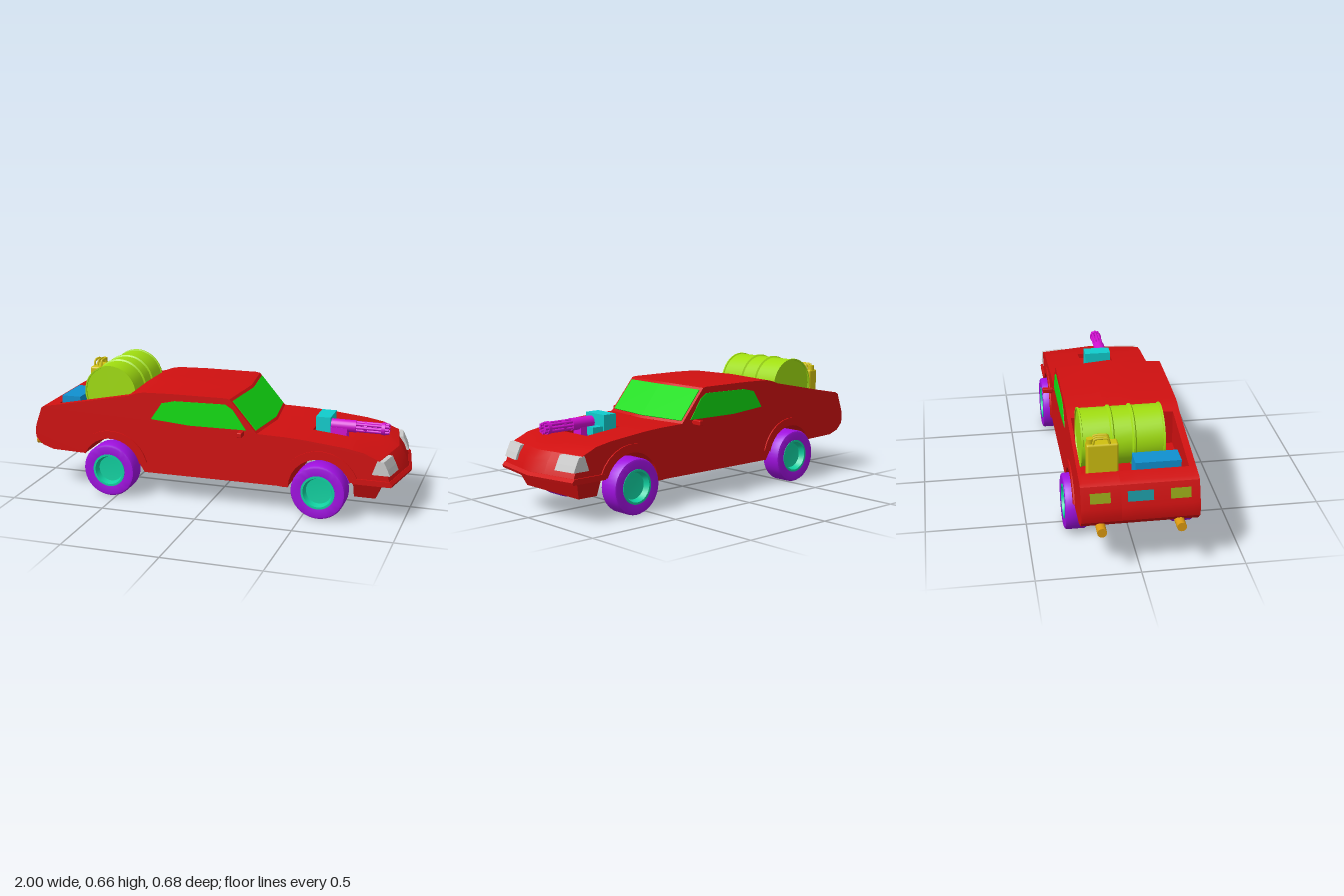
import * as THREE from 'three';
import { mergeGeometries, toCreasedNormals } from 'three/addons/utils/BufferGeometryUtils.js';
import { RoundedBoxGeometry } from 'three/addons/geometries/RoundedBoxGeometry.js';

const HALF = 0.278; // half width of the body
const mat = (color) => new THREE.MeshStandardMaterial({ color });
const RED = mat(0xd01010), GREEN = mat(0x10dd10), PURPLE = mat(0xa010e0), TEAL = mat(0x10d0a0);
const LIME = mat(0xa0dd10), YELLOW = mat(0xd0c010), BLUE = mat(0x1090d0), CYAN = mat(0x10cccc);
const MAGENTA = mat(0xd010d0), ORANGE = mat(0xdd9a10), GREY = mat(0xcccccc);
const TAIL = mat(0x8fa010), PLATE = mat(0x14909a);

// Side profile extruded between two z values
function slab(points, z0, z1) {
  const shape = new THREE.Shape(points.map((p) => new THREE.Vector2(p[0], p[1])));
  const g = new THREE.ExtrudeGeometry(shape, { depth: z1 - z0, bevelEnabled: false });
  return g.translate(0, 0, z0);
}

// Sweeps nose and windscreen back toward the sides and crowns the roof
function warp(g) {
  const p = g.attributes.position;
  for (let i = 0; i < p.count; i++) {
    const x = p.getX(i), y = p.getY(i), s = Math.abs(p.getZ(i)) / HALF;
    if (x > 0.86 && y > 0.19) p.setX(i, x - 0.05 * s);
    else if (x > 0.1 && x < 0.32 && y > 0.4) p.setX(i, x - 0.035 * s);
    if (y > 0.5) p.setY(i, y + 0.007 * (1 - s));
  }
  return g;
}

// Wheel arch outline from left to right
function arch(cx, r, a0, a1, n = 12) {
  return Array.from({ length: n + 1 }, (_, i) => {
    const a = a0 + (a1 - a0) * i / n;
    return [cx + r * Math.cos(a), 0.143 + r * Math.sin(a)];
  });
}

function bodyProfile(bed, scoop) {
  return [
    [-0.965, 0.27], [-0.97, 0.3], [-0.965, 0.34], [-0.93, 0.44], [-0.91, 0.45], [-0.84, 0.462],
    ...(bed ? [[-0.839, 0.372], [-0.436, 0.372]] : []),
    [-0.435, 0.545], [-0.39, 0.562], [-0.35, 0.57], [-0.2, 0.575], [0.09, 0.577], [0.147, 0.573],
    [0.29, 0.406], [0.4, 0.403], [0.5, 0.397],
    ...(scoop ? [[0.501, 0.35], [0.709, 0.35]] : []),
    [0.71, 0.376], [0.8, 0.36], [0.89, 0.342], [0.93, 0.326], [0.96, 0.285], [0.985, 0.22], [0.9, 0.2],
    ...arch(0.585, 0.165, 0.35, Math.PI), [-0.35, 0.14],
    ...arch(-0.535, 0.165, 0.2, Math.PI - 0.42), [-0.87, 0.215], [-0.93, 0.235],
  ];
}

export function createModel() {
  const car = new THREE.Group();
  car.name = 'car';
  const add = (name, geo, material, x = 0, y = 0, z = 0, parent = car) => {
    const m = new THREE.Mesh(geo, material);
    m.name = name;
    m.position.set(x, y, z);
    parent.add(m);
    return m;
  };
  const box = (name, m, x0, x1, y0, y1, z0, z1, r = 0) => add(name,
    r ? new RoundedBoxGeometry(x1 - x0, y1 - y0, z1 - z0, 2, r) : new THREE.BoxGeometry(x1 - x0, y1 - y0, z1 - z0),
    m, (x0 + x1) / 2, (y0 + y1) / 2, (z0 + z1) / 2);
  // Full-width warped strip, split at the centre line
  const across = (pts, w) => warp(mergeGeometries([slab(pts, -w, 0), slab(pts, 0, w)]));

  // Body in strips, so the rear bed and bonnet opening are real recesses
  const cuts = [-HALF, -0.26, -0.09, 0, 0.09, 0.245, HALF];
  const strips = cuts.slice(1).map((z1, i) =>
    slab(bodyProfile(i > 0 && i < 5, i === 2 || i === 3), cuts[i], z1));
  add('body', toCreasedNormals(warp(mergeGeometries(strips)), 0.45), RED);

  // Bumper and chin spoiler
  add('frontBumper', across([[0.75, 0.197], [0.995, 0.197], [1, 0.21], [0.985, 0.225], [0.75, 0.225]], 0.287), RED);
  const chin = slab([[0.746, 0.105], [0.855, 0.105], [0.895, 0.205], [0.746, 0.205]], -0.25, 0.25);
  const cp = chin.attributes.position;
  for (let i = 0; i < cp.count; i++) if (cp.getY(i) < 0.15) cp.setZ(i, cp.getZ(i) * 0.84);
  chin.computeVertexNormals();
  add('chinSpoiler', chin, RED);

  // Windscreen, side windows, lamps, mirrors and arch lips
  add('windscreen', across([[0.158, 0.561], [0.161, 0.564], [0.283, 0.421], [0.28, 0.418]], 0.264), GREEN);
  const windowPts = [[-0.31, 0.433], [-0.25, 0.522], [-0.18, 0.539], [0.09, 0.545], [0.13, 0.52], [0.2, 0.42], [-0.1, 0.417]];
  const lampPts = [[0.91, 0.253], [0.935, 0.325], [0.968, 0.323], [0.987, 0.284], [1.0, 0.253]]
    .map(([x, y]) => [x - 0.015, y]);
  const tailPts = [[-0.956, 0.365], [-0.962, 0.367], [-0.946, 0.412], [-0.94, 0.41]];
  for (const s of [1, -1]) {
    const side = s > 0 ? 'left' : 'right';
    const sided = (pts, a, b) => s > 0 ? slab(pts, a, b) : slab(pts, -b, -a);
    add(side + 'Window', sided(windowPts, 0.265, 0.281), GREEN);
    add(side + 'Headlamp', warp(sided(lampPts, 0.16, 0.281)), GREY);
    add(side + 'TailLamp', sided(tailPts, 0.14, 0.235), TAIL);
    box(side + 'MirrorArm', RED, 0.175, 0.188, 0.402, 0.412, s > 0 ? 0.265 : -0.3, s > 0 ? 0.3 : -0.265);
    box(side + 'Mirror', RED, 0.17, 0.194, 0.396, 0.421, s > 0 ? 0.287 : -0.342, s > 0 ? 0.342 : -0.287, 0.004);
    for (const [cx, a0, a1] of [[0.585, 0.36, Math.PI], [-0.535, 0.25, Math.PI - 0.43]]) {
      const lip = [...arch(cx, 0.163, a0, a1), ...arch(cx, 0.205, a0, a1).reverse()];
      add(side + 'ArchLip', toCreasedNormals(sided(lip, 0.265, 0.285), 0.5), RED);
    }
    const pipe = new THREE.CylinderGeometry(0.023, 0.023, 0.27, 20, 1).rotateZ(Math.PI / 2);
    add(side + 'ExhaustPipe', pipe, ORANGE, -0.865, 0.233, s * 0.186);
  }
  add('rearPlate', slab(tailPts, -0.06, 0.06), PLATE);

  // Wheels: tyre with a hub dished on both faces
  const lathe = (pts) => toCreasedNormals(new THREE.LatheGeometry(
    pts.map((p) => new THREE.Vector2(p[0], p[1])), 40).rotateX(Math.PI / 2), 0.6);
  const tyre = lathe([[0.085, -0.05], [0.126, -0.055], [0.135, -0.052], [0.14, -0.043],
    [0.14, 0.043], [0.135, 0.052], [0.126, 0.055], [0.085, 0.05]]);
  const hub = lathe([[0, -0.018], [0.066, -0.022], [0.076, -0.053], [0.087, -0.053],
    [0.087, 0.053], [0.076, 0.053], [0.066, 0.022], [0, 0.018]]);
  for (const x of [-0.536, 0.583]) for (const z of [-0.265, 0.265]) {
    const wheel = new THREE.Group();
    wheel.name = (x > 0 ? 'front' : 'rear') + 'Wheel';
    wheel.position.set(x, 0.142, z);
    add('tyre', tyre, PURPLE, 0, 0, 0, wheel);
    add('hub', hub, TEAL, 0, 0, 0, wheel);
    car.add(wheel);
  }

  // Ribbed drum lying in the bed
  const drum = [[0, -0.194], [0.136, -0.194], [0.137, -0.2], [0.144, -0.2], [0.144, -0.192], [0.139, -0.19]];
  for (const c of [-0.051, 0.052]) drum.push([0.139, c - 0.01], [0.147, c - 0.004], [0.147, c + 0.004], [0.139, c + 0.01]);
  drum.push([0.139, 0.19], [0.144, 0.192], [0.144, 0.2], [0.137, 0.2], [0.136, 0.194], [0, 0.194]);
  add('drum', lathe(drum), LIME, -0.585, 0.518, -0.044);

  // Storage box and fuel can
  box('storageBox', BLUE, -0.838, -0.735, 0.372, 0.496, -0.008, 0.21);
  box('fuelCan', YELLOW, -0.803, -0.744, 0.372, 0.585, -0.23, -0.08, 0.01);
  for (const x of [-0.793, -0.774, -0.755]) {
    const path = new THREE.CatmullRomCurve3([[-0.2, 0.58], [-0.19, 0.611], [-0.13, 0.611], [-0.12, 0.58]]
      .map(([z, y]) => new THREE.Vector3(x, y, z)), false, 'catmullrom', 0.2);
    add('fuelCanHandle', new THREE.TubeGeometry(path, 16, 0.006, 8), YELLOW);
  }
  add('fuelCanCap', new THREE.CylinderGeometry(0.017, 0.017, 0.03, 16), YELLOW, -0.774, 0.593, -0.212);

  // Bonnet gun: mount, ammunition box, housing and rotating barrels
  box('gunMount', CYAN, 0.51, 0.586, 0.35, 0.462, -0.07, 0.072);
  box('ammunitionBox', CYAN, 0.58, 0.648, 0.35, 0.405, -0.061, -0.015);
  const GY = 0.417, GZ = 0.034;
  box('gunCradle', MAGENTA, 0.58, 0.67, 0.35, 0.41, 0.008, 0.066);
  const rod = (name, r, x0, x1, dy = 0, dz = 0) => add(name,
    new THREE.CylinderGeometry(r, r, x1 - x0, r > 0.02 ? 24 : 10).rotateZ(Math.PI / 2),
    MAGENTA, (x0 + x1) / 2, GY + dy, GZ + dz);
  rod('gunHousing', 0.031, 0.58, 0.715);
  rod('barrelClampRear', 0.027, 0.755, 0.77);
  rod('barrelClampFront', 0.032, 0.845, 0.863);
  rod('gunAxle', 0.01, 0.7, 0.86);
  for (let i = 0; i < 8; i++) {
    const a = i * Math.PI / 4;
    rod('gunBarrel', 0.0075, 0.7, 0.882, 0.022 * Math.sin(a), 0.022 * Math.cos(a));
  }
  return car;
}
